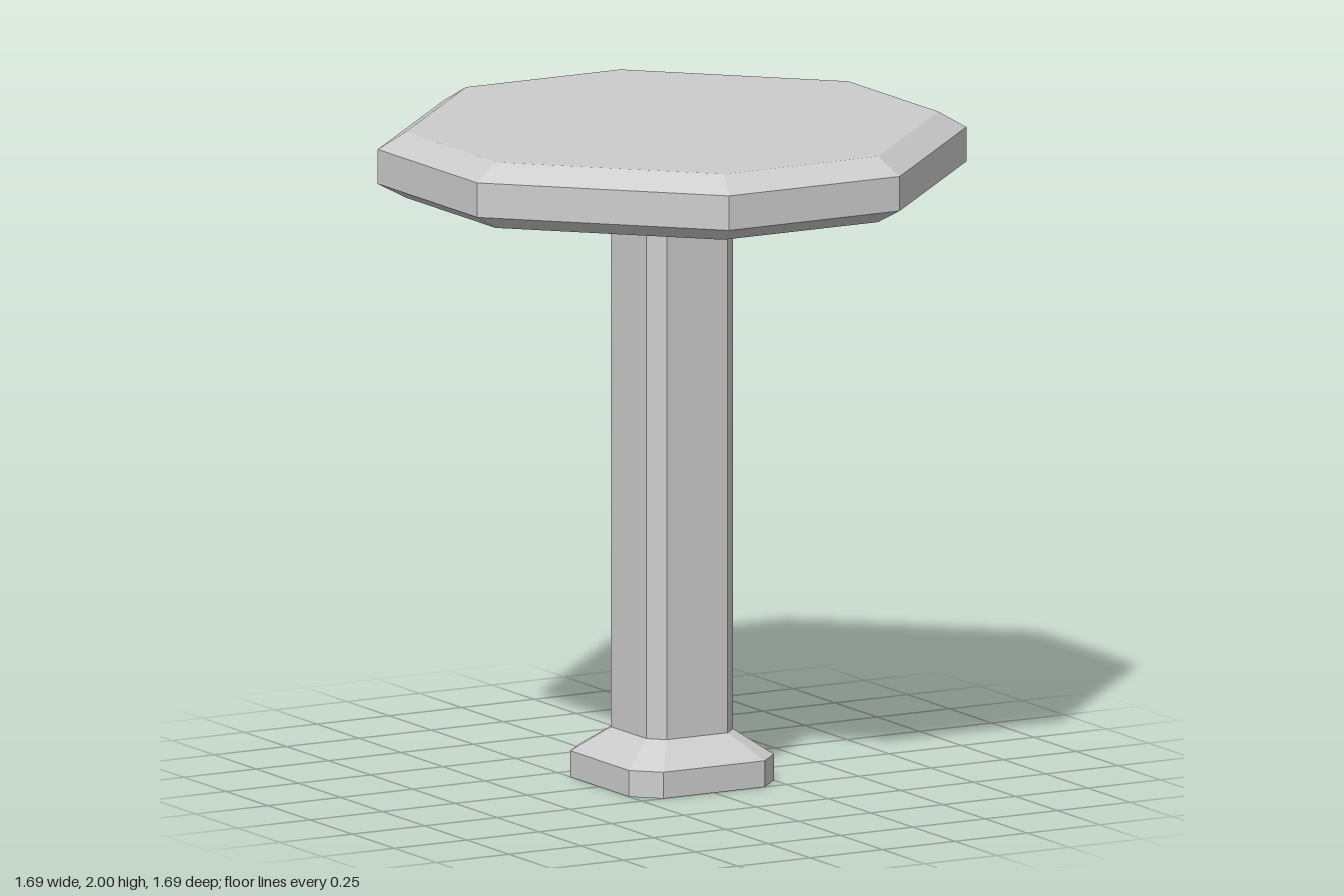
import * as THREE from 'three';

// Corners of a chamfered square, counterclockwise seen from above
function ring([half, edge, y]) {
  const pts = [];
  for (let q = 0; q < 4; q++) {
    const c = [1, 0, -1, 0][q], s = [0, 1, 0, -1][q];
    for (const e of [-edge, edge]) {
      pts.push([half * c - e * s, y, -(half * s + e * c)]);
    }
  }
  return pts;
}

// Stacks eight-sided rings [half width, half edge, y] into a faceted solid
function loft(profile) {
  const rings = profile.map(ring);
  const pos = [];
  const tri = (a, b, c) => pos.push(...a, ...b, ...c);
  for (let k = 0; k < rings.length - 1; k++) {
    const lo = rings[k], up = rings[k + 1];
    for (let i = 0; i < 8; i++) {
      const j = (i + 1) % 8;
      if (profile[k][0] > 0) tri(lo[i], lo[j], up[j]);
      if (profile[k + 1][0] > 0) tri(lo[i], up[j], up[i]);
    }
  }
  const geometry = new THREE.BufferGeometry();
  geometry.setAttribute('position', new THREE.Float32BufferAttribute(pos, 3));
  geometry.computeVertexNormals();
  return geometry;
}

export function createModel() {
  const model = new THREE.Group();
  model.name = 'pedestalTable';
  const grey = new THREE.MeshStandardMaterial({ color: 0xcccccc });
  grey.name = 'plain grey';

  const add = (name, profile) => {
    const mesh = new THREE.Mesh(loft(profile), grey);
    mesh.name = name;
    model.add(mesh);
  };

  // Foot and post share one continuous profile
  add('pedestal', [
    [0, 0, 0],
    [0.25, 0.175, 0],
    [0.25, 0.175, 0.08],
    [0.15, 0.105, 0.155],
    [0.15, 0.105, 1.85],
  ]);

  // Bevelled top with a shallow recess around the post underneath
  add('tableTop', [
    [0, 0, 1.85],
    [0.4, 0.14, 1.85],
    [0.4, 0.14, 1.8],
    [0.765, 0.267, 1.8],
    [0.845, 0.295, 1.845],
    [0.845, 0.295, 1.95],
    [0.765, 0.267, 2],
    [0, 0, 2],
  ]);

  return model;
}
